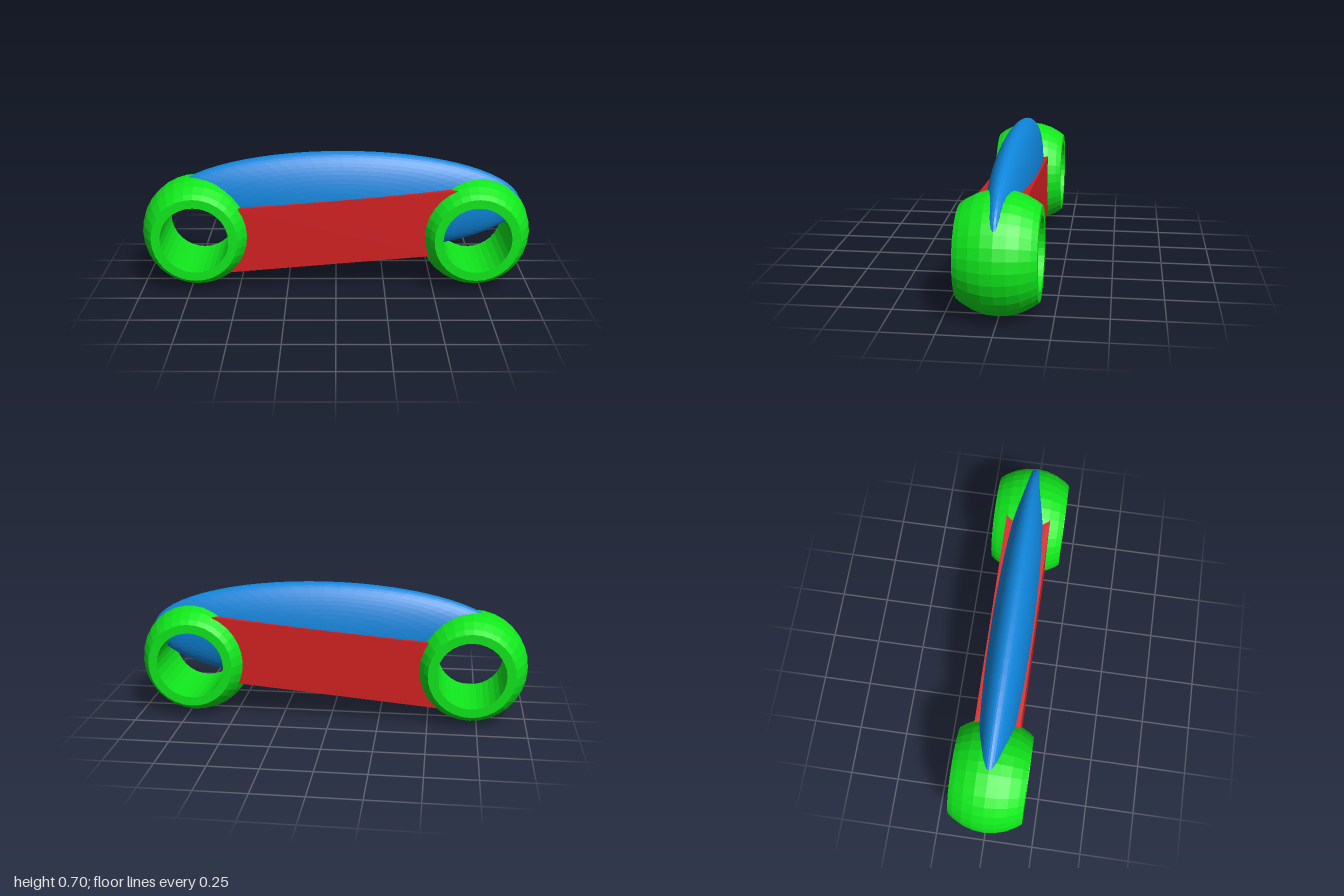
import * as THREE from 'three';

const HUB_X = 0.715, HUB_Y = 0.286, HUB_R = 0.286, HOLE_R = 0.173, HUB_HALF = 0.185;

const paint = (color) => new THREE.MeshStandardMaterial({ color, flatShading: true });

function part(name, geometry, material) {
  const mesh = new THREE.Mesh(geometry, material);
  mesh.name = name;
  return mesh;
}

// Ball with flat sides and a straight bore along z
function hubGeometry() {
  const points = [new THREE.Vector2(HOLE_R, -HUB_HALF)];
  const rim = Math.sqrt(HUB_R ** 2 - HUB_HALF ** 2);
  points.push(new THREE.Vector2(rim, -HUB_HALF));
  for (let i = -3; i <= 3; i++) {
    const a = (i * Math.PI) / 16;
    points.push(new THREE.Vector2(HUB_R * Math.cos(a), HUB_R * Math.sin(a)));
  }
  points.push(new THREE.Vector2(rim, HUB_HALF), new THREE.Vector2(HOLE_R, HUB_HALF));
  points.push(points[0].clone());
  return new THREE.LatheGeometry(points, 32).rotateX(Math.PI / 2);
}

// Tilted slab whose ends are hollowed to stay inside the hub walls
function slabGeometry() {
  const tilt = 0.0873, r = 0.25, half = 0.115;
  const s = new THREE.Shape();
  s.absarc(-HUB_X, HUB_Y, r, tilt + Math.asin(0.1245 / r), tilt - Math.asin(0.2148 / r), true);
  s.absarc(HUB_X, HUB_Y, r, Math.PI + tilt + Math.asin(0.09 / r), Math.PI + tilt - Math.asin(0.2485 / r), true);
  return new THREE.ExtrudeGeometry(s, { depth: 2 * half, bevelEnabled: false, curveSegments: 16 })
    .translate(0, 0, -half);
}

// Long ellipsoid, cut back where it would enter the bore of the right hub
function shellGeometry() {
  const cx = 0.035, cy = 0.432, cutR = HOLE_R + 0.006;
  const g = new THREE.SphereGeometry(1, 64, 32).rotateX(Math.PI / 2).scale(0.912, 0.271, 0.108);
  const pos = g.attributes.position;
  const fx = cx + HUB_X, fy = cy - HUB_Y;
  for (let i = 0; i < pos.count; i++) {
    const x = pos.getX(i), y = pos.getY(i);
    const len = Math.hypot(x, y) || 1;
    const b = (fx * x + fy * y) / len;
    const disc = b * b - (fx * fx + fy * fy - cutR * cutR);
    if (b < 0 && disc > 0) {
      const k = Math.min(1, (-b - Math.sqrt(disc)) / len);
      pos.setXY(i, x * k, y * k);
    }
  }
  g.translate(cx, cy, 0);
  g.computeVertexNormals();
  return g;
}

export function createModel() {
  const model = new THREE.Group();
  model.name = 'linkArm';

  // Hubs at both ends
  const green = paint(0x10e81c);
  const hub = hubGeometry();
  for (const side of [-1, 1]) {
    const mesh = part(side > 0 ? 'leftHub' : 'rightHub', hub, green);
    mesh.position.set(side * HUB_X, HUB_Y, 0);
    model.add(mesh);
  }

  // Connecting slab and the curved shell over it
  model.add(part('connectingSlab', slabGeometry(), paint(0xd42022)));
  model.add(part('curvedShell', shellGeometry(), paint(0x0f86dc)));
  return model;
}
